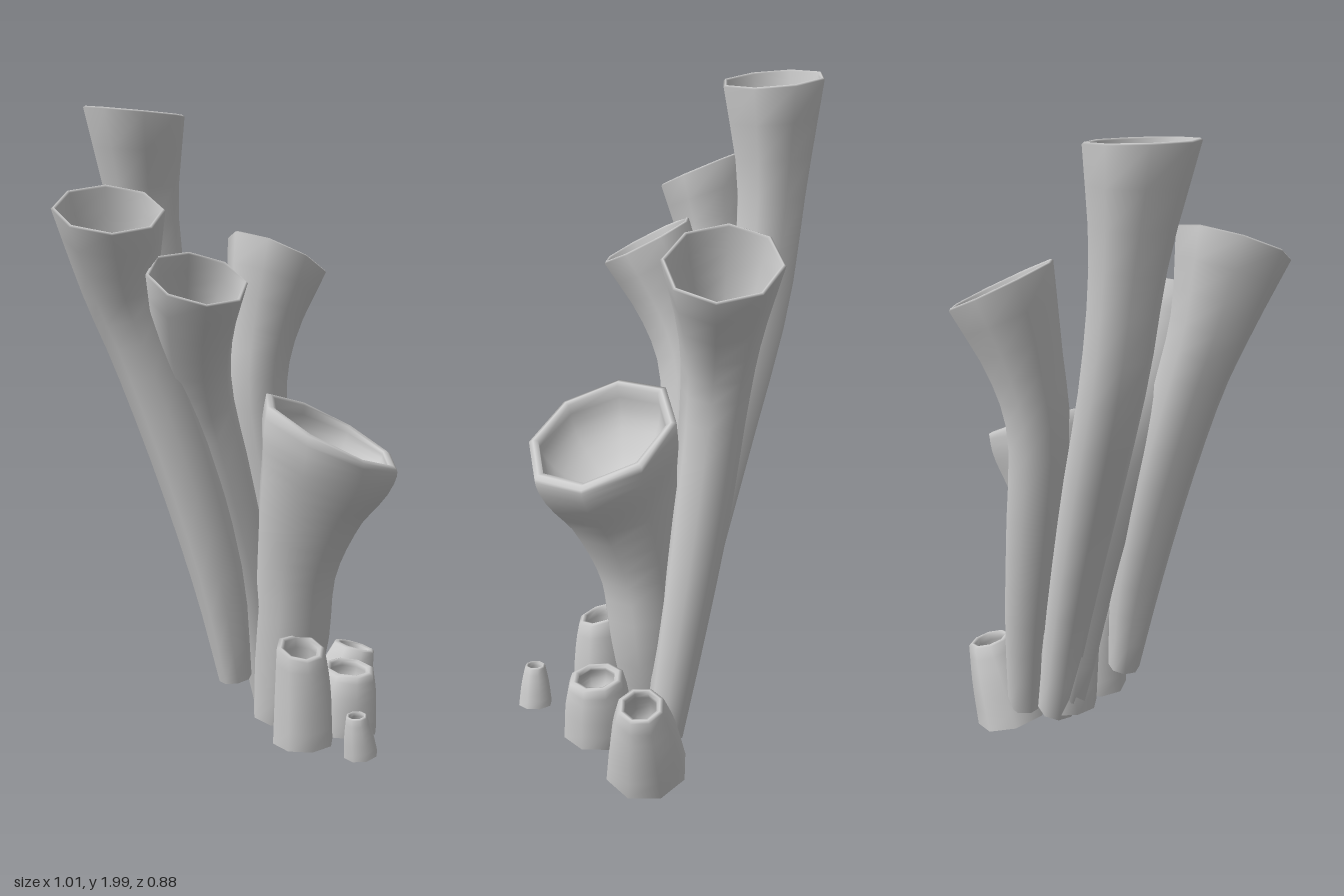
import * as THREE from 'three';

const SIDES = 8;
const material = new THREE.MeshStandardMaterial({ color: 0xcccccc, side: THREE.DoubleSide });
const UP = new THREE.Vector3(0, 1, 0);

// Hollow tube: stations are [x, y, z, radius] from base to mouth; rim is the mouth's normal.
// depth is how far down the cavity goes (0..1), wall is the inner / outer radius ratio,
// phase turns the octagon by a fraction of one side.
function tube(name, stations, rim, { depth = 0.32, wall = 0.92, rings = 14, phase = 0.5 } = {}) {
  const path = new THREE.CatmullRomCurve3(stations.map(([x, y, z]) => new THREE.Vector3(x, y, z)), false, 'catmullrom');
  const radii = new THREE.CatmullRomCurve3(stations.map(s => new THREE.Vector3(s[3], 0, 0)), false, 'catmullrom');
  const mouth = new THREE.Vector3(...rim).normalize();
  const position = [], index = [];
  let count = 0;

  const ring = (t, scale, lift = 0) => {
    const centre = path.getPoint(t);
    const normal = path.getTangent(t).lerp(mouth, t ** 4).normalize();
    const turn = new THREE.Quaternion().setFromUnitVectors(UP, normal);
    const r = radii.getPoint(t).x * scale;
    for (let i = 0; i < SIDES; i++) {
      const a = (i + phase) / SIDES * Math.PI * 2;
      const p = new THREE.Vector3(Math.sin(a) * r, lift, Math.cos(a) * r).applyQuaternion(turn).add(centre);
      position.push(p.x, p.y, p.z);
    }
    if (count > 0) {
      const low = (count - 1) * SIDES, high = count * SIDES;
      for (let i = 0; i < SIDES; i++) {
        const j = (i + 1) % SIDES;
        index.push(low + i, low + j, high + j, low + i, high + j, high + i);
      }
    }
    count++;
  };

  // Outer wall, rounded lip, then the cavity narrowing to a rounded floor
  for (let k = 0; k <= rings; k++) ring(k / rings, 1);
  ring(1, (1 + wall) / 2, 0.005);
  for (let k = 0; k <= 10; k++) {
    const s = Math.sin(k / 10 * Math.PI / 2);
    ring(1 - depth * s, wall * Math.sqrt(1.0001 - s ** 3));
  }

  const geometry = new THREE.BufferGeometry();
  geometry.setAttribute('position', new THREE.Float32BufferAttribute(position, 3));
  geometry.setIndex(index);
  geometry.computeVertexNormals();
  const mesh = new THREE.Mesh(geometry, material);
  mesh.name = name;
  return mesh;
}

export function createModel() {
  const group = new THREE.Group();
  group.name = 'tubeCluster';

  // Tall slender tubes with flared mouths
  group.add(
    tube('tallBackTube', [
      [0.19, 0.12, -0.01, 0.062], [0.12, 0.5, -0.075, 0.075], [0.02, 0.95, -0.175, 0.088],
      [-0.075, 1.35, -0.27, 0.094], [-0.122, 1.68, -0.302, 0.105], [-0.155, 1.98, -0.3, 0.152],
    ], [0.05, 1, 0.08]),
    tube('rightOuterTube', [
      [-0.025, 0.29, 0.025, 0.05], [-0.07, 0.6, 0.0, 0.077], [-0.15, 0.95, -0.055, 0.09],
      [-0.245, 1.28, -0.115, 0.097], [-0.312, 1.49, -0.14, 0.115], [-0.36, 1.7, -0.12, 0.16],
    ], [-0.2, 1, 0.42], { phase: 0.38 }),
    tube('rightFrontTube', [
      [0.14, 0.18, -0.01, 0.055], [0.075, 0.55, -0.035, 0.074], [-0.008, 0.9, -0.065, 0.09],
      [-0.08, 1.15, -0.073, 0.098], [-0.138, 1.33, -0.025, 0.116], [-0.185, 1.51, 0.06, 0.148],
    ], [-0.1, 1, 0.52]),
    tube('leftBackTube', [
      [0.3, 0.12, -0.01, 0.057], [0.268, 0.45, -0.06, 0.072], [0.222, 0.8, -0.11, 0.086],
      [0.185, 1.12, -0.145, 0.096], [0.213, 1.33, -0.16, 0.115], [0.277, 1.555, -0.165, 0.167],
    ], [0.5, 1, 0.03], { phase: 0.87 }),
  );

  // Broad front cup with a shallow bowl
  group.add(tube('frontCup', [
    [0.155, 0.12, 0.02, 0.09], [0.178, 0.38, 0.04, 0.122], [0.175, 0.62, 0.066, 0.13],
    [0.19, 0.82, 0.112, 0.168], [0.213, 0.96, 0.155, 0.216], [0.22, 1.05, 0.17, 0.23],
  ], [0.36, 1, 0.36], { depth: 0.34, wall: 0.87, rings: 18, phase: 0.71 }));

  // Short young tubes around the foot
  const buds = [
    ['rightBud', [0.108, 0.11, 0.19, 0.095], [0.105, 0.27, 0.19, 0.088], [0.095, 0.405, 0.19, 0.075], [-0.05, 1, 0.3]],
    ['middleBud', [0.275, 0.11, 0.19, 0.105], [0.28, 0.23, 0.19, 0.098], [0.288, 0.3, 0.19, 0.082], [0.03, 1, 0.08]],
    ['leftBud', [0.355, 0.04, 0.04, 0.125], [0.4, 0.19, 0.045, 0.1], [0.438, 0.3, 0.05, 0.07], [0.3, 1, 0.05]],
    ['smallBud', [0.157, 0.125, 0.395, 0.052], [0.147, 0.19, 0.395, 0.044], [0.138, 0.245, 0.395, 0.032], [-0.1, 1, 0]],
  ];
  for (const [name, base, middle, top, rim] of buds) {
    group.add(tube(name, [base, middle, top], rim, { depth: 0.6, wall: 0.7, rings: 6 }));
  }
  return group;
}
